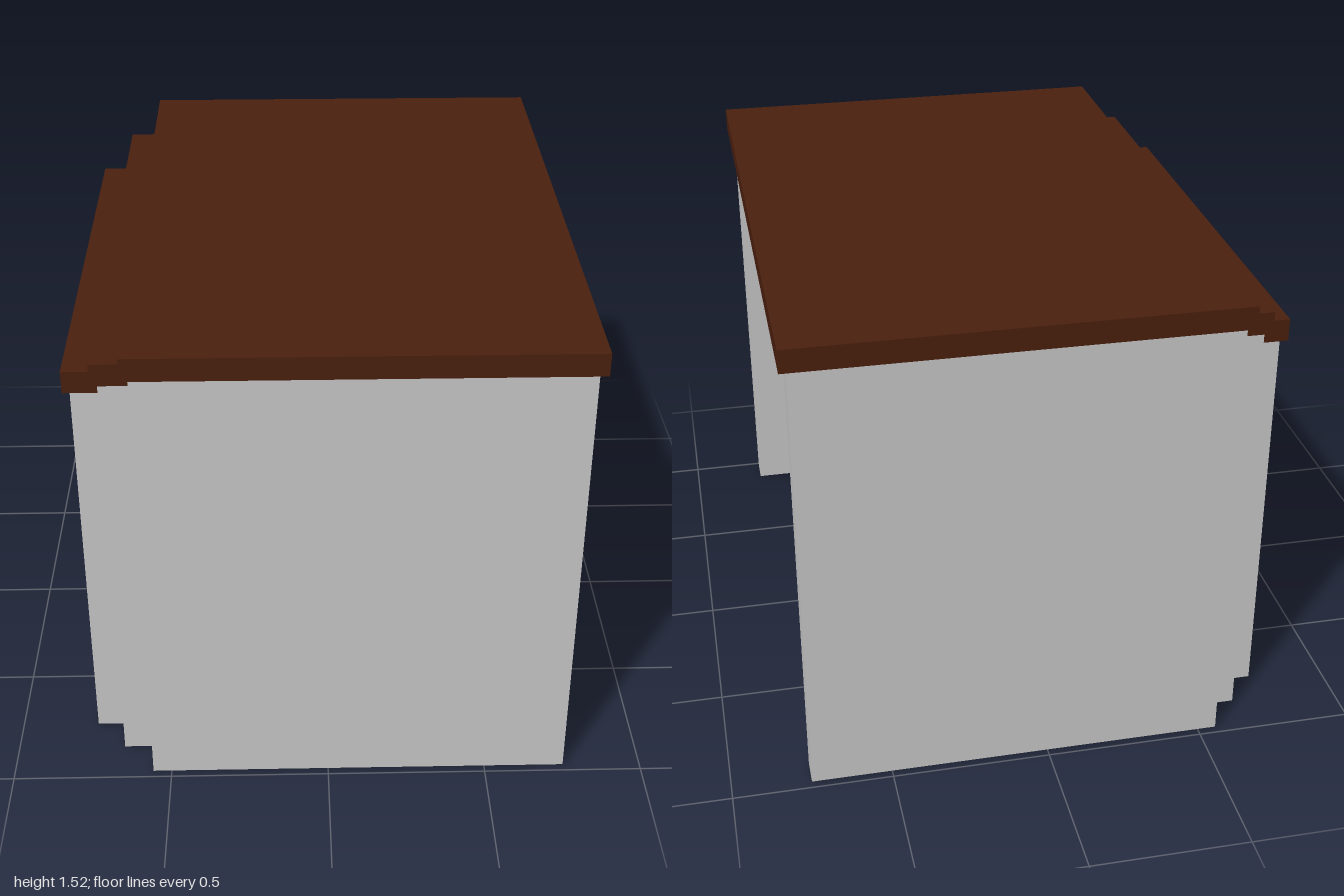
import * as THREE from 'three';

const wood = new THREE.MeshStandardMaterial({ color: 0x4a200e });
wood.name = 'darkWood';
const grey = new THREE.MeshStandardMaterial({ color: 0xc8c8c8 });
grey.name = 'lightGrey';

// Nested tables: top extents in x, half depth, top heights, leg panel extents
const tables = [
  { name: 'largeTable', x: [-0.58, 0.775], z: 1.0, y: [1.448, 1.52], legX: [-0.558, 0.753], legZ: [0.89, 0.978], foot: 0.004 },
  { name: 'mediumTable', x: [-0.678, 0.653], z: 0.875, y: [1.364, 1.434], legX: [-0.658, 0.631], legZ: [0.78, 0.857], foot: 0 },
  { name: 'smallTable', x: [-0.775, 0.513], z: 0.76, y: [1.276, 1.347], legX: [-0.754, 0.492], legZ: [0.678, 0.745], foot: 0 },
];

// Box given by its lower and upper bounds on each axis
function box(name, [x0, x1], [y0, y1], [z0, z1], material) {
  const mesh = new THREE.Mesh(new THREE.BoxGeometry(x1 - x0, y1 - y0, z1 - z0), material);
  mesh.position.set((x0 + x1) / 2, (y0 + y1) / 2, (z0 + z1) / 2);
  mesh.name = name;
  return mesh;
}

export function createModel() {
  const model = new THREE.Group();
  model.name = 'nestingTables';
  // Leg panels are grey on the sides, with wood on the upper and lower edges
  const panelMaterials = [grey, grey, wood, wood, grey, grey];
  for (const t of tables) {
    const table = new THREE.Group();
    table.name = t.name;
    table.add(box('tabletop', t.x, t.y, [-t.z, t.z], wood));
    const height = [t.foot, t.y[0]];
    const [inner, outer] = t.legZ;
    table.add(box('frontLegPanel', t.legX, height, [inner, outer], panelMaterials));
    table.add(box('backLegPanel', t.legX, height, [-outer, -inner], panelMaterials));
    model.add(table);
  }
  return model;
}
